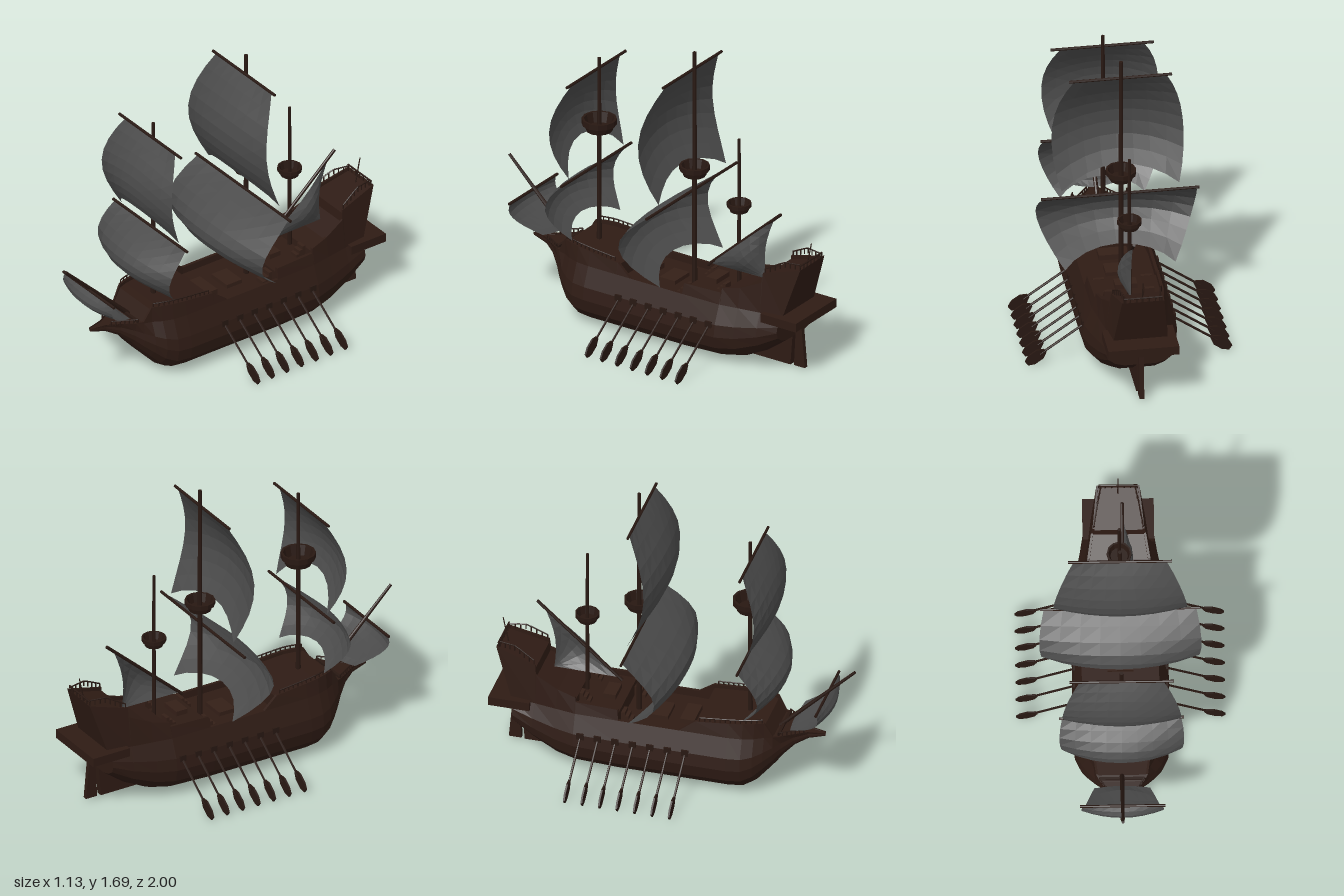
import * as THREE from 'three';

const mat = (color) => new THREE.MeshStandardMaterial({ color, flatShading: true, side: THREE.DoubleSide });
const V = (x, y, z) => new THREE.Vector3(x, y, z);

export function createModel() {
  const ship = new THREE.Group();
  ship.name = 'sailingShip';
  const hullMat = mat(0x2e1b14), wood = mat(0x281812), deckMat = mat(0x341f17), cloth = mat(0x4a4a4a);

  const add = (name, geo, material, parent = ship) => {
    const m = new THREE.Mesh(geo, material);
    m.name = name;
    parent.add(m);
    return m;
  };
  const group = (name) => {
    const g = new THREE.Group();
    g.name = name;
    ship.add(g);
    return g;
  };
  const box = (name, w, h, d, x, y, z, material = wood, parent = ship) => {
    const m = add(name, new THREE.BoxGeometry(w, h, d), material, parent);
    m.position.set(x, y, z);
    return m;
  };
  // round bar between two points
  const rod = (name, a, b, r0, r1 = r0, parent = ship, sides = 8) => {
    const m = add(name, new THREE.CylinderGeometry(r1, r0, a.distanceTo(b), sides), wood, parent);
    m.position.copy(a).add(b).multiplyScalar(0.5);
    m.quaternion.setFromUnitVectors(V(0, 1, 0), b.clone().sub(a).normalize());
    return m;
  };
  const meshFrom = (pos, idx) => {
    const g = new THREE.BufferGeometry();
    g.setAttribute('position', new THREE.Float32BufferAttribute(pos, 3));
    g.setIndex(idx);
    g.computeVertexNormals();
    return g;
  };

  // Hull stations: z, keel y, rail y, half beam, half width at rail, bulwark depth, stern rake
  const stations = [
    [0.83, 0.335, 0.355, 0.01, 0.01, 0.005, 0], [0.74, 0.31, 0.358, 0.025, 0.03, 0.01, 0],
    [0.67, 0.27, 0.36, 0.065, 0.075, 0.01, 0], [0.61, 0.21, 0.365, 0.115, 0.12, 0.01, 0],
    [0.575, 0.165, 0.37, 0.15, 0.14, 0.01, 0], [0.53, 0.115, 0.45, 0.19, 0.15, 0.02, 0],
    [0.48, 0.06, 0.45, 0.225, 0.17, 0.02, 0], [0.42, 0.025, 0.447, 0.25, 0.185, 0.02, 0],
    [0.34, 0.02, 0.44, 0.26, 0.19, 0.02, 0], [0.16, 0.02, 0.425, 0.26, 0.195, 0.02, 0],
    [0.155, 0.02, 0.424, 0.26, 0.195, 0.1, 0], [0.07, 0.02, 0.36, 0.26, 0.208, 0.04, 0],
    [-0.27, 0.02, 0.36, 0.26, 0.208, 0.04, 0], [-0.275, 0.02, 0.42, 0.26, 0.195, 0.03, 0],
    [-0.51, 0.03, 0.425, 0.258, 0.19, 0.03, 0], [-0.515, 0.03, 0.45, 0.257, 0.185, 0.02, 0],
    [-0.62, 0.05, 0.475, 0.235, 0.17, 0.02, 0], [-0.745, 0.11, 0.53, 0.208, 0.148, 0.02, 0],
    [-0.75, 0.112, 0.585, 0.207, 0.14, 0.02, 0], [-0.87, 0.2, 0.65, 0.185, 0.115, 0.02, 0.32],
  ];
  const section = ([z, yb, yt, w, tw, depth, rake]) => {
    const yc = Math.min(yt, 0.36), h = yc - yb, inner = tw * 0.92;
    const half = [[0, 0], [0.46, 0], [0.73, 0.09], [0.94, 0.26], [1, 0.47], [0.96, 0.68]]
      .map(([a, b]) => [a * w, yb + b * h]);
    half.push([yt < 0.38 ? tw : w * 0.8, yc], [tw, yt], [inner, yt], [inner, yt - depth], [0, yt - depth]);
    const ring = half.concat(half.slice(0, -1).reverse().map(([x, y]) => [-x, y]));
    return ring.map(([x, y]) => [x, y, z - rake * Math.max(0, y - 0.32)]);
  };
  const rings = stations.map(section), n = rings[0].length;
  const hullIdx = [];
  for (let i = 0; i < rings.length - 1; i++)
    for (let j = 0; j < n - 1; j++) {
      const a = i * n + j, d = a + n;
      hullIdx.push(a, d, a + 1, a + 1, d, d + 1);
    }
  // transom closing the stern
  const last = (rings.length - 1) * n;
  for (let j = 0; j < 7; j++) {
    const p = last + j, q = last + n - 1 - j;
    hullIdx.push(p, q, q - 1, p, q - 1, p + 1);
  }
  add('hull', meshFrom(rings.flat(2), hullIdx), hullMat);

  // Rail height and width interpolated along the hull
  const railAt = (z) => {
    let i = 0;
    while (i < stations.length - 2 && stations[i + 1][0] > z) i++;
    const a = stations[i], b = stations[i + 1];
    const t = Math.min(1.8, (a[0] - z) / (a[0] - b[0]));
    return [THREE.MathUtils.lerp(a[4], b[4], t) * 0.96, a[2] + (b[2] - a[2]) * Math.min(1, t)];
  };
  const railing = (name, z0, z1, count) => {
    const g = group(name);
    for (const s of [-1, 1]) {
      let prev = null;
      for (let i = 0; i <= count; i++) {
        const z = z0 + (z1 - z0) * i / count, [x, y] = railAt(z);
        rod('railPost', V(s * x, y - 0.01, z), V(s * x, y + 0.02, z), 0.004, 0.004, g, 5);
        const top = V(s * x, y + 0.02, z);
        if (prev) rod('handrail', prev, top, 0.004, 0.004, g, 5);
        prev = top;
      }
    }
  };
  railing('forecastleRailing', 0.52, 0.18, 12);
  railing('beakRailing', 0.72, 0.6, 6);
  railing('poopRailing', -0.76, -0.96, 7);
  for (let i = -3; i <= 3; i++) rod('sternRailPost', V(i * 0.034, 0.64, -0.965), V(i * 0.034, 0.67, -0.967), 0.004);
  rod('sternHandrail', V(-0.105, 0.67, -0.967), V(0.105, 0.67, -0.967), 0.005);
  rod('flagStaff', V(0, 0.62, -0.94), V(0, 0.765, -0.97), 0.004, 0.003);

  // Stern gallery, keel and rudder
  box('sternGallery', 0.385, 0.05, 0.23, 0, 0.345, -0.885, hullMat);
  const plate = (name, pts, thick) => {
    const g = new THREE.ExtrudeGeometry(new THREE.Shape(pts.map(([z, y]) => new THREE.Vector2(-z, y))),
      { depth: thick, bevelEnabled: false });
    g.translate(0, 0, -thick / 2).rotateY(Math.PI / 2);
    add(name, g, hullMat);
  };
  plate('keelFin', [[-0.4, 0.02], [-0.845, 0.02], [-0.87, 0.33], [-0.8, 0.33], [-0.5, 0.06]], 0.035);
  plate('rudder', [[-0.865, 0.02], [-0.935, 0.02], [-0.91, 0.3], [-0.88, 0.3]], 0.025);

  // Deck fittings
  box('mainHatch', 0.14, 0.025, 0.1, 0, 0.33, -0.08, deckMat);
  box('foreHatch', 0.16, 0.03, 0.08, 0, 0.335, 0.08, deckMat);
  box('quarterdeckHatch', 0.12, 0.03, 0.07, 0, 0.405, -0.36, deckMat);
  box('beakBeam', 0.24, 0.012, 0.015, 0, 0.372, 0.6);
  for (const s of [-1, 1])
    for (let k = 0; k < 3; k++) {
      box('quarterdeckStep', 0.06, 0.022 * (k + 1), 0.02, s * 0.13, 0.32 + 0.011 * (k + 1), -0.215 - k * 0.02, deckMat);
      box('poopStep', 0.05, 0.02 * (k + 1), 0.02, s * 0.11, 0.39 + 0.01 * (k + 1), -0.455 - k * 0.02, deckMat);
    }

  // Masts with lookout baskets: z, base, top, radius, basket bottom, basket height, basket radius
  const masts = [
    ['fore', 0.41, 0.4, 1.5, 0.014, 1.07, 0.07, 0.096],
    ['main', -0.21, 0.3, 1.7, 0.015, 0.97, 0.06, 0.083],
    ['mizzen', -0.5, 0.38, 1.26, 0.012, 0.835, 0.05, 0.067],
  ];
  for (const [name, z, y0, y1, r, by, bh, br] of masts) {
    rod(name + 'Mast', V(0, y0, z), V(0, y1, z), r, r * 0.7);
    const profile = [[0, 0], [0.75, 0], [0.88, 0.55], [1, 0.55], [1, 1], [0.86, 1], [0.7, 0.2], [0, 0.2]]
      .map(([a, b]) => new THREE.Vector2(a * br, b * bh));
    add(name + 'LookoutBasket', new THREE.LatheGeometry(profile, 12), wood).position.set(0, by, z);
  }
  rod('bowsprit', V(0, 0.34, 0.56), V(0, 0.77, 0.995), 0.013, 0.008);

  // Billowing square sails, each hung on its yard
  const sails = [
    { name: 'mainTopsail', y: 1.59, z: -0.195, yard: 0.28, H: 0.68, arch: 0.1, wt: 0.25, wb: 0.32, k: 0.07, side: 0.11, mid: 0.17 },
    { name: 'mainCourse', y: 0.868, z: -0.19, yard: 0.43, H: 0.455, arch: 0.07, wt: 0.41, wb: 0.3, k: 0.07, side: 0.185, mid: 0.26 },
    { name: 'foreTopsail', y: 1.424, z: 0.43, yard: 0.28, H: 0.55, arch: 0.14, wt: 0.225, wb: 0.26, k: 0.075, side: 0.09, mid: 0.14 },
    { name: 'foreCourse', y: 0.857, z: 0.43, yard: 0.335, H: 0.36, arch: 0.06, wt: 0.32, wb: 0.23, k: 0.05, side: 0.11, mid: 0.19 },
    { name: 'spritsail', y: 0.602, z: 0.84, yard: 0.23, H: 0.17, arch: -0.02, wt: 0.215, wb: 0.15, k: 0.03, side: 0.07, mid: 0.115, shift: -0.165 },
  ];
  for (const o of sails) {
    rod(o.name + 'Yard', V(-o.yard, o.y, o.z), V(o.yard, o.y, o.z), 0.008);
    const g = new THREE.PlaneGeometry(2, 1, 8, 8), p = g.attributes.position;
    for (let i = 0; i < p.count; i++) {
      const u = p.getX(i), v = 0.5 - p.getY(i), c = 1 - u * u;
      const s = v * (1 - o.arch / o.H * c);
      const half = o.wt + (o.wb - o.wt) * s + o.k * 4 * s * (1 - s);
      const belly = Math.sin(Math.PI * Math.min(s, 1)) * (o.side + (o.mid - o.side) * c);
      p.setXYZ(i, u * half, o.y - s * o.H, o.z + belly + (o.shift || 0) * s);
    }
    g.computeVertexNormals();
    add(o.name, g, cloth);
  }

  // Triangular sail on a slanting yard
  rod('lateenYard', V(0.02, 0.47, -0.31), V(0.02, 0.895, -0.785), 0.009);
  const A = V(0.02, 0.485, -0.33), B = V(0.02, 0.85, -0.74), C = V(0.02, 0.49, -0.69);
  const lat = new THREE.PlaneGeometry(1, 1, 6, 6), lp = lat.attributes.position;
  for (let i = 0; i < lp.count; i++) {
    const u = lp.getX(i) + 0.5, v = lp.getY(i) + 0.5;
    const q = A.clone().lerp(B, u).lerp(C, v);
    q.x += 0.065 * Math.sin(Math.PI * u) * (1 - v * v) * Math.sin(Math.PI * (0.15 + 0.85 * v));
    q.z += 0.03 * Math.sin(Math.PI * v) * u * u;
    lp.setXYZ(i, q.x, q.y, q.z);
  }
  lat.computeVertexNormals();
  add('lateenSail', lat, cloth);

  // Oars with flat blades and their ports, seven a side
  const bladeShape = new THREE.Shape([[0, -0.01], [0.035, -0.032], [0.09, -0.032], [0.125, -0.015],
    [0.125, 0.015], [0.09, 0.032], [0.035, 0.032], [0, 0.01]].map(([x, y]) => new THREE.Vector2(x, y)));
  const bladeGeo = new THREE.ExtrudeGeometry(bladeShape, { depth: 0.01, bevelEnabled: false }).translate(0, 0, -0.005);
  for (const s of [-1, 1])
    for (let i = 0; i < 7; i++) {
      const oar = group('oar');
      oar.position.set(s * 0.235, 0.245, 0.115 - i * 0.0975);
      oar.rotation.y = s < 0 ? Math.PI : 0;
      const arm = new THREE.Group();
      arm.name = 'oarArm';
      arm.rotation.z = -0.61;
      oar.add(arm);
      rod('oarShaft', V(-0.03, 0, 0), V(0.3, 0, 0), 0.0065, 0.0065, arm, 6);
      add('oarBlade', bladeGeo, wood, arm).position.x = 0.265;
      box('oarPort', 0.03, 0.035, 0.04, 0.005, 0.003, 0, wood, oar);
    }
  return ship;
}
